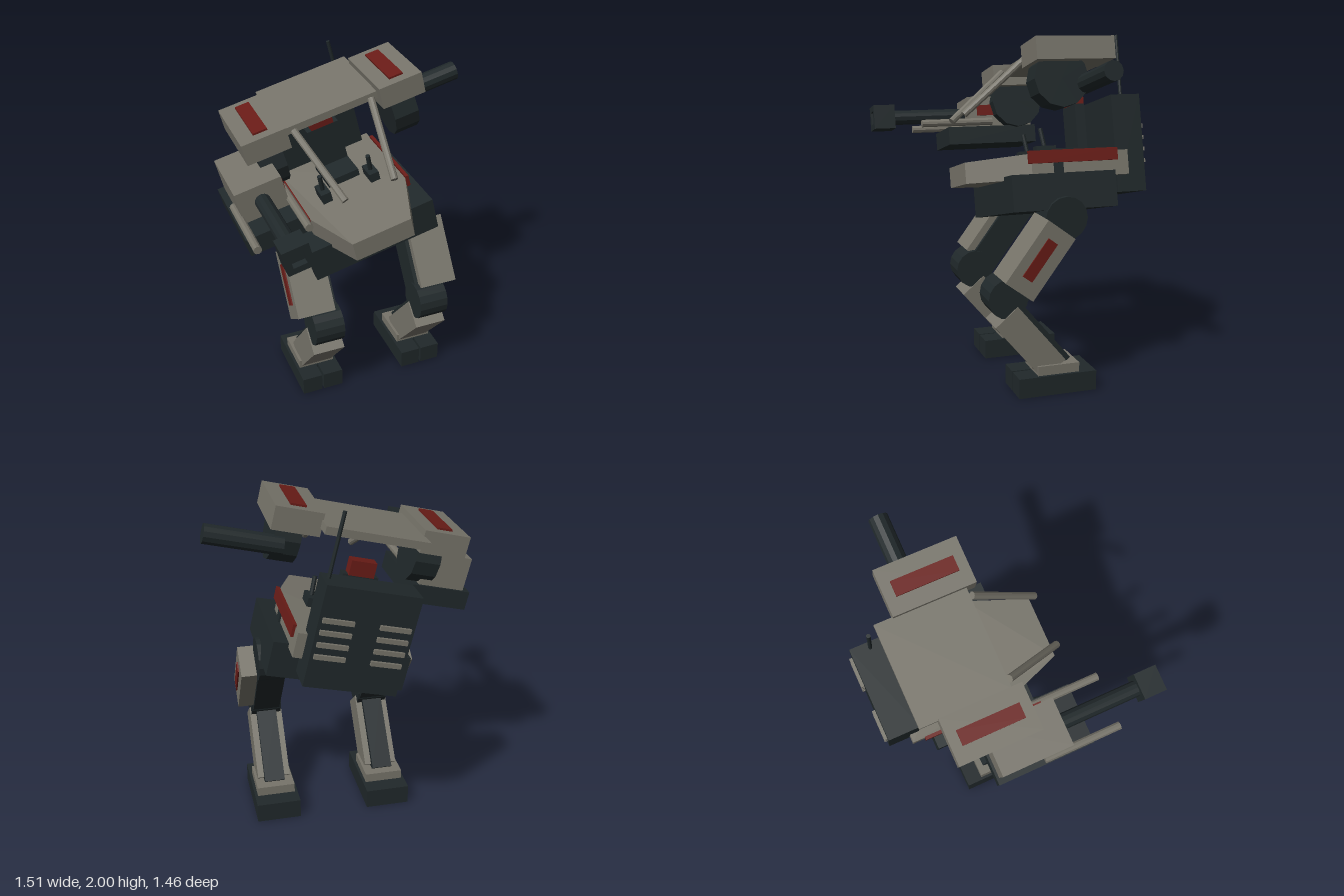
import * as THREE from 'three';

const mat = (color) => new THREE.MeshStandardMaterial({ color, flatShading: true });

export function createModel() {
  const grey = mat(0x77746a), dark = mat(0x20282a), red = mat(0x6a1c17);
  const model = new THREE.Group();
  model.name = 'walker';

  const add = (parent, name, geo, material, x = 0, y = 0, z = 0) => {
    const m = new THREE.Mesh(geo, material);
    m.name = name;
    m.position.set(x, y, z);
    parent.add(m);
    return m;
  };
  // box given by its low and high corners
  const span = (parent, name, material, [x0, x1], [y0, y1], [z0, z1]) =>
    add(parent, name, new THREE.BoxGeometry(x1 - x0, y1 - y0, z1 - z0), material,
      (x0 + x1) / 2, (y0 + y1) / 2, (z0 + z1) / 2);
  // cylinder between two points
  const rod = (parent, name, material, a, b, r, sides = 12) => {
    const p = new THREE.Vector3(...a), q = new THREE.Vector3(...b);
    const m = add(parent, name, new THREE.CylinderGeometry(r, r, p.distanceTo(q), sides), material);
    m.position.copy(p).add(q).multiplyScalar(0.5);
    m.quaternion.setFromUnitVectors(new THREE.Vector3(0, 1, 0), q.sub(p).normalize());
    return m;
  };
  // box tilted about the x axis
  const tilted = (parent, name, material, size, pos, angle) => {
    const m = add(parent, name, new THREE.BoxGeometry(...size), material, ...pos);
    m.rotation.x = angle;
    return m;
  };

  // Legs: upright, mirrored about the hip centre
  const legs = new THREE.Group();
  legs.name = 'legs';
  legs.position.x = 0.053;
  model.add(legs);
  for (const s of [-1, 1]) {
    const leg = new THREE.Group();
    leg.name = s > 0 ? 'leftLeg' : 'rightLeg';
    legs.add(leg);
    const x = s * 0.337;
    rod(leg, 'hipJoint', dark, [x - 0.083, 1.005, -0.155], [x + 0.083, 1.005, -0.155], 0.125, 16);
    tilted(leg, 'thigh', dark, [0.16, 0.5, 0.17], [x, 0.79, 0], -0.635);
    tilted(leg, 'thighArmor', grey, [0.23, 0.414, 0.196], [s * 0.395, 0.8, 0.03], -0.635);
    tilted(leg, 'thighStripe', red, [0.012, 0.25, 0.065], [s * 0.512, 0.806, 0.035], -0.635);
    rod(leg, 'kneeJoint', dark, [x - 0.09, 0.575, 0.187], [x + 0.09, 0.575, 0.187], 0.115, 16);
    tilted(leg, 'shinArmor', grey, [0.195, 0.44, 0.17], [x, 0.305, 0.058], 0.7);
    tilted(leg, 'shinStrut', dark, [0.12, 0.468, 0.06], [x, 0.347, -0.018], 0.7);
    span(leg, 'anklePlate', grey, [x - 0.113, x + 0.113], [0.11, 0.17], [-0.228, 0.02]);
    span(leg, 'foot', dark, [x - 0.13, x + 0.13], [0, 0.115], [-0.327, 0.03]);
    for (const t of [-1, 1]) {
      const tx = x + t * 0.068;
      span(leg, 'toe', dark, [tx - 0.062, tx + 0.062], [0, 0.115], [0.03, 0.137]);
    }
  }

  // Torso: everything above the hips leans sideways
  const torso = new THREE.Group();
  torso.name = 'torso';
  torso.position.set(0.056, 1.066, 0);
  torso.rotation.z = 0.235;
  model.add(torso);
  span(torso, 'pelvisHull', dark, [-0.395, 0.395], [-0.102, 0.102], [-0.467, 0.15]);

  // Cockpit tub with tapered nose; the top drops towards the front
  const plan = new THREE.Shape([[-0.18, -0.35], [0.18, -0.35], [0.31, 0], [0.31, 0.59],
    [-0.31, 0.59], [-0.31, 0]].map(([px, py]) => new THREE.Vector2(px, py)));
  const tub = new THREE.ExtrudeGeometry(plan, { depth: 0.142, bevelEnabled: false });
  tub.rotateX(-Math.PI / 2);
  const tp = tub.attributes.position;
  for (let i = 0; i < tp.count; i++) {
    if (tp.getZ(i) > 0.2 && tp.getY(i) > 0.1) tp.setY(i, 0.12);
  }
  tub.computeVertexNormals();
  add(torso, 'cockpitTub', tub, grey, 0, 0.08, 0);

  // Seat
  span(torso, 'seatBack', dark, [-0.1, 0.1], [0.2, 0.525], [-0.43, -0.37]);
  span(torso, 'seatCushion', dark, [-0.1, 0.1], [0.22, 0.265], [-0.4, -0.2]);
  span(torso, 'headrest', red, [-0.071, 0.071], [0.522, 0.606], [-0.44, -0.37]);

  // Backpack with vents and antenna
  span(torso, 'backpack', dark, [-0.262, 0.258], [-0.02, 0.55], [-0.716, -0.536]);
  for (const s of [-1, 1]) {
    for (let i = 0; i < 4; i++) {
      add(torso, 'vent', new THREE.BoxGeometry(0.17, 0.025, 0.02), grey,
        s * 0.155, 0.16 + i * 0.068, -0.723);
    }
  }
  rod(torso, 'antenna', dark, [0.226, 0.54, -0.61], [0.226, 0.905, -0.61], 0.011, 8);

  // Roof, shoulder pods and the paired cockpit details
  span(torso, 'roof', grey, [-0.285, 0.285], [0.757, 0.8], [-0.56, -0.052]);
  for (const s of [-1, 1]) {
    const x = s * 0.407;
    span(torso, 'sidePlate', red, [s * 0.316 - 0.01, s * 0.316 + 0.01], [0.165, 0.237], [-0.52, 0.02]);
    span(torso, 'sideBracket', dark, [s * 0.312 - 0.01, s * 0.312 + 0.01], [0.09, 0.17], [-0.185, -0.13]);
    span(torso, 'console', dark, [s * 0.155 - 0.03, s * 0.155 + 0.03], [0.21, 0.275], [-0.2, -0.08]);
    rod(torso, 'controlStick', dark, [s * 0.155, 0.26, -0.14], [s * 0.155, 0.38, -0.12], 0.014, 8);
    rod(torso, 'roofStrut', grey, [s * 0.233, 0.778, -0.04], [s * 0.146, 0.475, 0.325], 0.021, 10);
    span(torso, 'shoulderPod', grey, [x - 0.13, x + 0.13], [0.708, 0.835], [-0.457, 0.003]);
    span(torso, 'shoulderStripe', red, [x - 0.042, x + 0.042], [0.83, 0.846], [-0.4, -0.055]);
    rod(torso, 'shoulderJoint', dark, [s * 0.402 - 0.073, 0.615, -0.155],
      [s * 0.402 + 0.073, 0.615, -0.155], 0.16, 12);
  }

  // Left arm: plain tube pointing outwards
  rod(torso, 'leftArmTube', dark, [0.42, 0.583, -0.297], [0.848, 0.583, -0.297], 0.055, 12);

  // Right arm: cannon pointing forwards
  const cannon = new THREE.Group();
  cannon.name = 'cannonArm';
  cannon.position.set(-0.541, 0.56, 0);
  torso.add(cannon);
  span(cannon, 'cannonHousing', grey, [-0.135, 0.135], [-0.1, 0.1], [-0.26, 0.145]);
  span(cannon, 'cannonTray', dark, [-0.173, 0.173], [-0.2, -0.092], [-0.275, 0.29]);
  span(cannon, 'housingStripe', red, [0.13, 0.145], [-0.02, 0.045], [-0.1, 0.09]);
  rod(cannon, 'cannonBarrel', dark, [0, 0, 0.1], [0, 0, 0.64], 0.045, 12);
  for (const s of [-1, 1]) {
    rod(cannon, 'sideTube', grey, [s * 0.145, -0.06, 0], [s * 0.145, -0.06, 0.45], 0.023, 10);
  }
  // Hollow square muzzle
  const square = (r) => [[-r, -r], [r, -r], [r, r], [-r, r]].map(([px, py]) => new THREE.Vector2(px, py));
  const frame = new THREE.Shape(square(0.073));
  frame.holes.push(new THREE.Path(square(0.038)));
  add(cannon, 'muzzle', new THREE.ExtrudeGeometry(frame, { depth: 0.13, bevelEnabled: false }), dark, 0, 0, 0.6);
  span(cannon, 'muzzleBack', dark, [-0.04, 0.04], [-0.04, 0.04], [0.605, 0.69]);

  return model;
}
